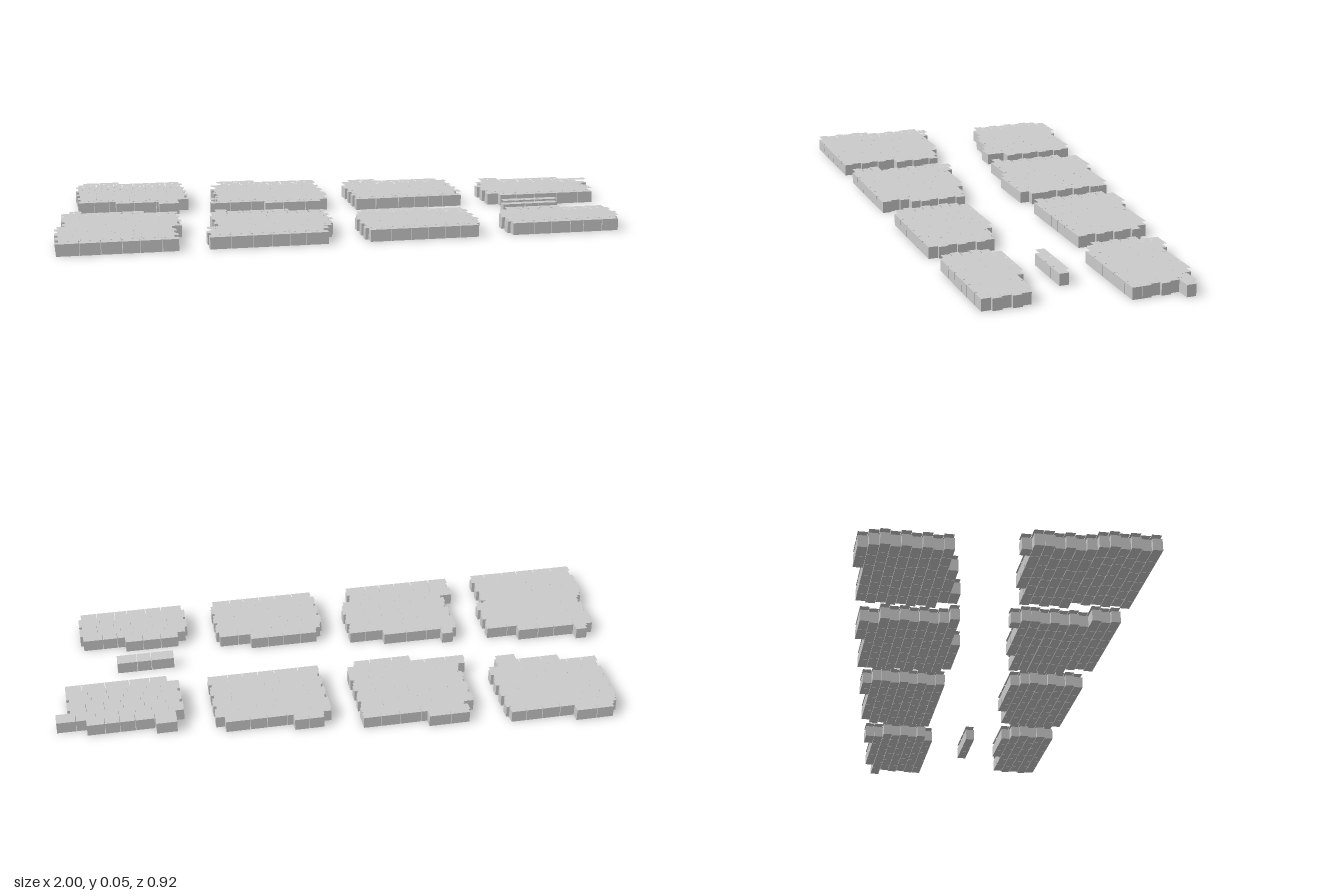
import * as THREE from 'three';
import { mergeGeometries } from 'three/addons/utils/BufferGeometryUtils.js';

const PITCH = 0.0327;   // depth of one course of bricks
const WIDTH = 0.39;     // usual length of a course
const HEIGHT = 0.04;    // height of the brick bodies
const CAP_Y = 0.053;    // height of the thin floating cap faces
const GAP = 0.002;      // joint between bricks
const FRONT = 0.458;    // front edge shared by the front line of panels

// left: usual left end; ends: [left, right] of the courses that differ, counted from the back;
// step: from this course on, the panel shifts sideways by the given amount
const PANELS = [
  { back: -0.459, left: -0.90, courses: 11, ends: { 0: [-.87, -.74], 9: [-.77, -.55], 10: [-.62, -.55] } },
  { back: -0.397, left: -0.41, courses: 11, ends: { 0: [-.38, -.24], 1: [-.37, -.02], 9: [-.44, -.02], 10: [-.25, -.05] } },
  { back: -0.331, left: 0.08, courses: 9, ends: { 0: [.11, .21], 1: [.08, .44] } },
  { back: -0.262, left: 0.57, courses: 8, ends: { 0: [.60, .67], 1: [.60, .90], 2: [.57, 1], 7: [.61, .96] } },
  { left: -0.97, courses: 13, ends: { 0: [-.94, -.90], 1: [-.97, -.69] }, step: [7, -0.03] },
  { left: -0.47, courses: 11, ends: { 0: [-.45, -.41], 1: [-.47, -.20] }, step: [8, -0.04] },
  { left: 0.01, courses: 8, ends: { 0: [.04, .28] } },
  { left: 0.50, courses: 6, ends: { 0: [.54, .73] } },
  { back: 0.126, left: 0.57, courses: 1, ends: { 0: [.57, .77] } },
];

function seeded(seed) {
  return () => (seed = (seed * 16807) % 2147483647) / 2147483647;
}

// Ends of one course: every second one is slightly inset on both sides
function courseEnds({ left, ends, step = [Infinity, 0] }, r) {
  if (ends[r]) return ends[r];
  const x0 = left + (r >= step[0] ? step[1] : 0);
  const inset = r % 2 ? 0.01 : 0;
  return [x0 + inset, x0 + WIDTH - inset];
}

// Divide one course into bricks of slightly uneven length
function splitCourse(x0, x1, rand) {
  const count = Math.max(1, Math.round((x1 - x0) / 0.066));
  const weights = Array.from({ length: count }, () => 0.75 + 0.5 * rand());
  const total = weights.reduce((a, b) => a + b, 0);
  let x = x0;
  return weights.map((w) => {
    const start = x;
    x += (w / total) * (x1 - x0);
    return [start, x];
  });
}

export function createModel() {
  const model = new THREE.Group();
  model.name = 'brickPavingSet';
  const brickMaterial = new THREE.MeshStandardMaterial({ color: 0xcccccc, flatShading: true });
  const capMaterial = new THREE.MeshStandardMaterial({ color: 0xcccccc, side: THREE.DoubleSide });
  const rand = seeded(71);

  PANELS.forEach((spec, index) => {
    const { courses, back = FRONT - courses * PITCH } = spec;
    const bodies = [];
    const caps = [];
    for (let r = 0; r < courses; r++) {
      const z = back + (r + 0.5) * PITCH;
      const bricks = splitCourse(...courseEnds(spec, r), rand);
      bricks.forEach(([a, b], i) => {
        // Only inner ends get a joint, so the outline keeps its full width
        const x0 = a + (i > 0 ? GAP / 2 : 0);
        const x1 = b - (i < bricks.length - 1 ? GAP / 2 : 0);
        const w = x1 - x0, d = PITCH - GAP / 2, x = (x0 + x1) / 2;
        bodies.push(new THREE.BoxGeometry(w, HEIGHT, d).translate(x, HEIGHT / 2, z));
        caps.push(new THREE.PlaneGeometry(w, d).rotateX(-Math.PI / 2).translate(x, CAP_Y, z));
      });
    }

    const panel = new THREE.Group();
    panel.name = courses > 1 ? `pavingPanel${index + 1}` : 'looseBrickStrip';
    const bodyMesh = new THREE.Mesh(mergeGeometries(bodies), brickMaterial);
    bodyMesh.name = 'bricks';
    const capMesh = new THREE.Mesh(mergeGeometries(caps), capMaterial);
    capMesh.name = 'brickCaps';
    panel.add(bodyMesh, capMesh);
    model.add(panel);
  });
  return model;
}
